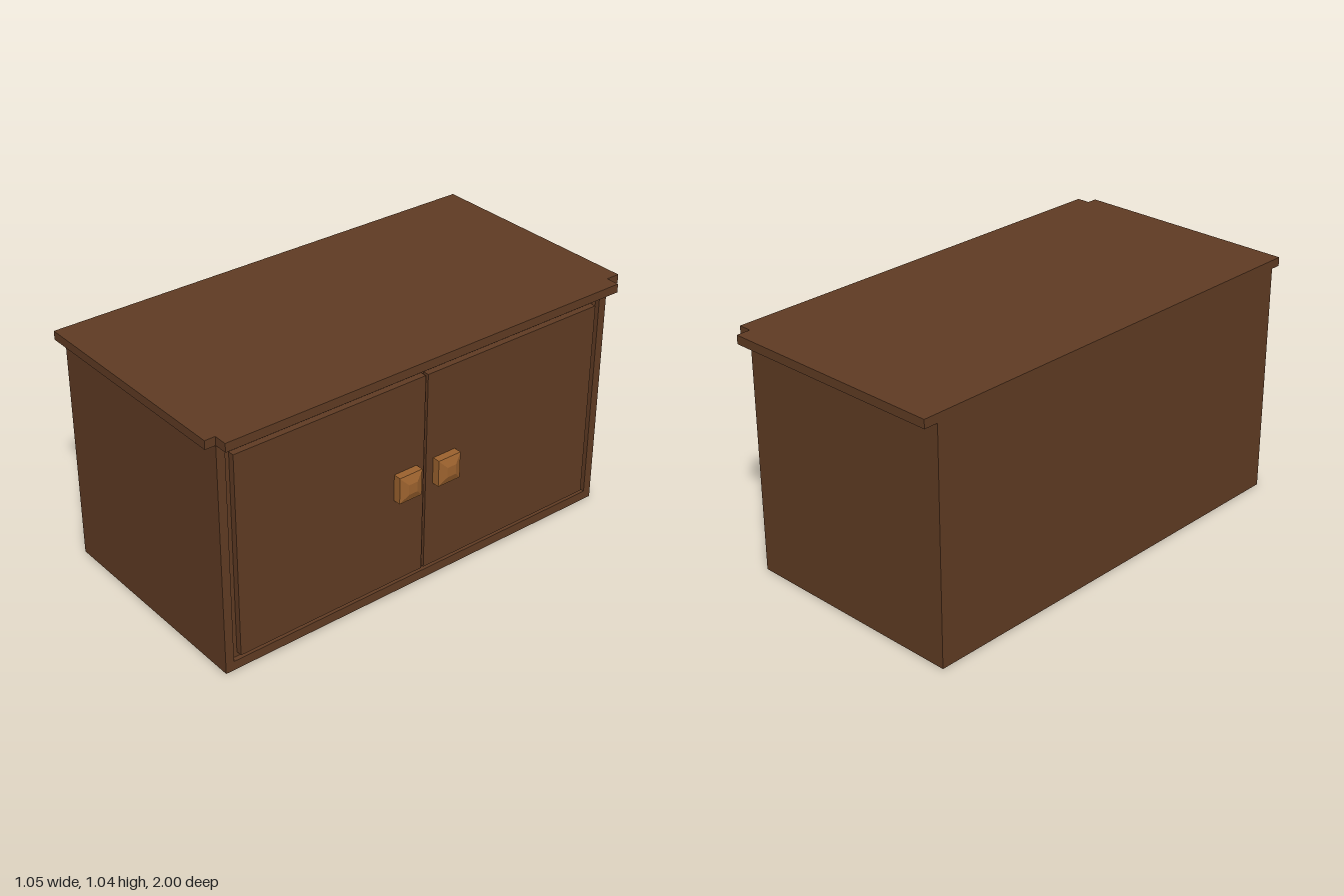
import * as THREE from 'three';

export function createModel() {
  const group = new THREE.Group();
  const darkWood = new THREE.MeshStandardMaterial({ color: 0x5f3b23 });
  darkWood.name = 'dark wood';
  const lightWood = new THREE.MeshStandardMaterial({ color: 0x9c622e });
  lightWood.name = 'light wood';

  const midZ = 0.008; // the carcass and doors share this centre line
  const back = -0.527, floorX = 0.447, face = 0.467, doorFace = 0.474;

  const add = (name, geometry, material) => {
    const mesh = new THREE.Mesh(geometry, material);
    mesh.name = name;
    group.add(mesh);
    return mesh;
  };
  // Box given by its limits on each axis
  const box = (name, x0, x1, y0, y1, z0, z1, material = darkWood) => {
    const mesh = add(name, new THREE.BoxGeometry(x1 - x0, y1 - y0, z1 - z0), material);
    mesh.position.set((x0 + x1) / 2, (y0 + y1) / 2, (z0 + z1) / 2);
    return mesh;
  };
  const rectangle = (target, halfWidth, y0, y1) => {
    target.moveTo(-halfWidth, y0);
    target.lineTo(halfWidth, y0);
    target.lineTo(halfWidth, y1);
    target.lineTo(-halfWidth, y1);
    target.closePath();
    return target;
  };

  // Carcass, with a frame around the recessed door opening
  box('carcass', back, floorX, 0, 1, midZ - 0.947, midZ + 0.947);
  const frameShape = rectangle(new THREE.Shape(), 0.947, 0, 1);
  frameShape.holes.push(rectangle(new THREE.Path(), 0.91, 0.04, 0.963));
  const frame = add('doorFrame', new THREE.ExtrudeGeometry(frameShape, {
    depth: face - floorX, bevelEnabled: false,
  }).rotateY(Math.PI / 2), darkWood);
  frame.position.set(floorX, 0, midZ);

  // Worktop with a lip notched at both ends
  const outline = [
    [back, -1], [face, -1], [face, midZ - 0.947], [0.525, midZ - 0.947],
    [0.525, midZ + 0.947], [face, midZ + 0.947], [face, 1], [back, 1],
  ];
  const topShape = new THREE.Shape(outline.map(([x, z]) => new THREE.Vector2(x, -z)));
  const top = add('worktop', new THREE.ExtrudeGeometry(topShape, {
    depth: 0.037, bevelEnabled: false,
  }).rotateX(-Math.PI / 2), darkWood);
  top.position.y = 1;

  // Mirrored doors, each with a square knob tapering outwards
  for (const side of [1, -1]) {
    const z = (d) => midZ + side * d;
    const [z0, z1] = [z(0.006), z(0.882)].sort((a, b) => a - b);
    box('door', floorX, doorFace, 0.06, 0.94, z0, z1);

    const knobZ = z(0.097);
    box('knobBase', doorFace, 0.508, 0.443, 0.559, knobZ - 0.055, knobZ + 0.055, lightWood);
    const taper = new THREE.CylinderGeometry(
      0.022 * Math.SQRT2, 0.057 * Math.SQRT2, 0.014, 4, 1, false, Math.PI / 4,
    ).toNonIndexed();
    taper.rotateZ(-Math.PI / 2);
    taper.computeVertexNormals();
    const tip = add('knobTip', taper, lightWood);
    tip.scale.z = 0.055 / 0.057;
    tip.position.set(0.515, 0.501, knobZ);
  }
  return group;
}
